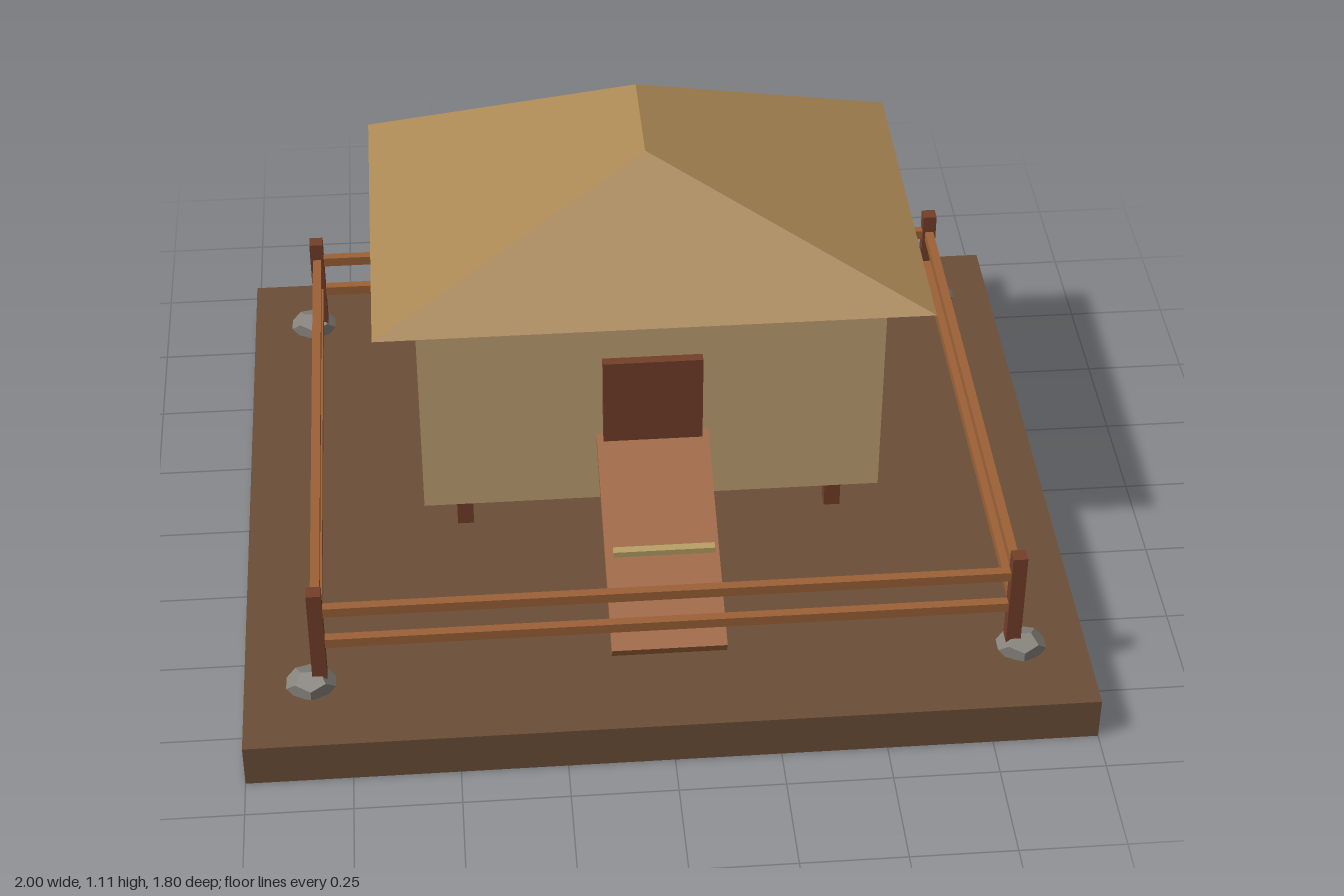
import * as THREE from 'three';

const paint = (color, extra = {}) =>
  new THREE.MeshStandardMaterial({ color, flatShading: true, ...extra });

export function createModel() {
  const model = new THREE.Group();
  const earth = paint(0x6b4f37);
  const plaster = paint(0xc2a375);
  const thatch = paint(0xab8853, { side: THREE.DoubleSide });
  const darkWood = paint(0x733f29);
  const wood = paint(0x9c6137);
  const straw = paint(0xb8a064);
  const stone = paint(0x85807a);

  const add = (name, geometry, material, x, y, z, parent = model) => {
    const mesh = new THREE.Mesh(geometry, material);
    mesh.name = name;
    mesh.position.set(x, y, z);
    parent.add(mesh);
    return mesh;
  };
  const box = (name, w, h, d, material, x, y, z, parent) =>
    add(name, new THREE.BoxGeometry(w, h, d), material, x, y, z, parent);

  // Ground slab and raised hut
  box('ground', 2, 0.11, 1.8, earth, 0, 0.055, 0);
  box('walls', 1.12, 0.54, 0.72, plaster, 0, 0.51, -0.14);
  box('door', 0.24, 0.32, 0.024, darkWood, 0, 0.51, 0.234);

  // Open hipped roof: four eave corners and two ridge ends
  const roof = new THREE.BufferGeometry();
  roof.setAttribute('position', new THREE.Float32BufferAttribute([
    -0.66, 0.825, 0.32, 0.66, 0.825, 0.32, 0.66, 0.825, -0.6, -0.66, 0.825, -0.6,
    0, 1.11, 0, 0, 1.11, -0.29,
  ], 3));
  roof.setIndex([0, 1, 4, 1, 2, 5, 1, 5, 4, 2, 3, 5, 3, 0, 4, 3, 4, 5]);
  const roofFlat = roof.toNonIndexed();
  roofFlat.computeVertexNormals();
  add('roof', roofFlat, thatch, 0, 0, 0);

  // Stilts, fence posts and the stones at their feet
  for (const x of [-1, 1]) {
    for (const z of [0.12, -0.4]) box('stilt', 0.04, 0.14, 0.04, darkWood, x * 0.46, 0.175, z);
    for (const z of [-1, 1]) {
      box('fencePost', 0.035, 0.29, 0.035, darkWood, x * 0.82, 0.255, z * 0.697);
      const rock = add('stone', new THREE.DodecahedronGeometry(0.062), stone, x * 0.842, 0.125, z * 0.703);
      rock.scale.set(1, 0.55, 0.85);
    }
  }

  // Two rails on every side of the fence
  for (const y of [0.245, 0.34]) {
    for (const s of [-1, 1]) {
      box('fenceRail', 1.64, 0.025, 0.022, wood, 0, y, s * 0.695);
      box('fenceSideRail', 0.022, 0.025, 1.4, wood, s * 0.82, y, 0);
    }
  }

  // Sloping ramp with its cross bars
  const ramp = box('ramp', 0.272, 0.03, 0.565, wood, 0, 0.31, 0.475);
  ramp.rotation.x = 0.445;
  for (let i = 0; i < 3; i++) {
    box('rampCrossBar', 0.24, 0.015, 0.02, straw, 0, 0.24 + i * 0.06, 0.34 + i * 0.114);
  }

  // Nest baskets hanging below the back edge
  for (const x of [-0.3, 0, 0.3]) {
    const basket = new THREE.Group();
    basket.name = 'basket';
    basket.position.set(x, 0, -0.46);
    model.add(basket);
    add('basketBody', new THREE.CylinderGeometry(0.045, 0.042, 0.075, 10), straw, 0, 0.192, 0, basket);
    add('basketRim', new THREE.CylinderGeometry(0.052, 0.052, 0.014, 10), straw, 0, 0.231, 0, basket);
  }
  return model;
}
